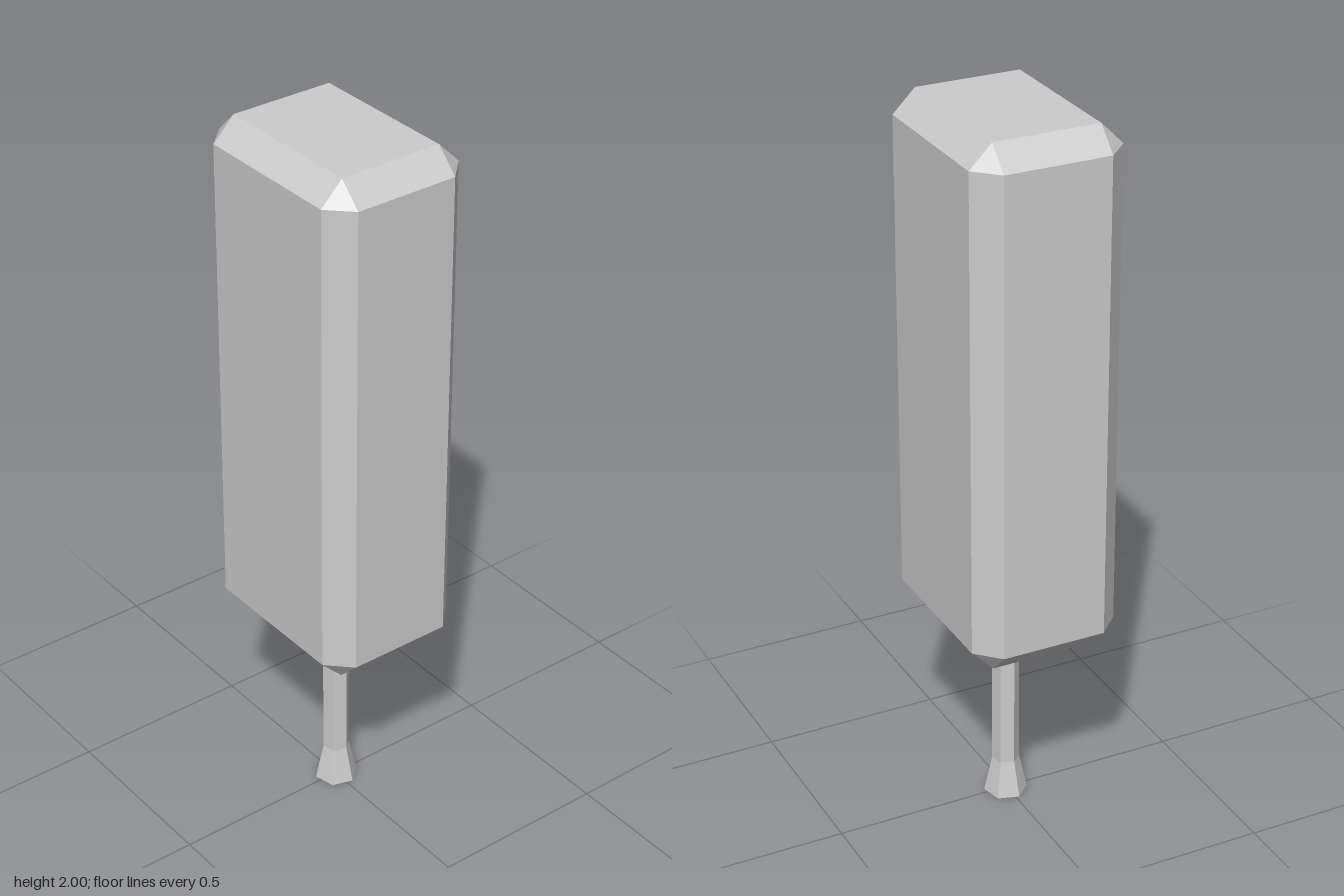
import * as THREE from 'three';
import { ConvexGeometry } from 'three/addons/geometries/ConvexGeometry.js';

const material = new THREE.MeshStandardMaterial({ color: 0xcccccc, flatShading: true });

// Box with every edge cut at 45 degrees and a triangle at each corner
function chamferedBox(width, height, depth, cut) {
  const [x, y, z] = [width / 2, height / 2, depth / 2];
  const points = [];
  for (const sx of [-1, 1]) for (const sy of [-1, 1]) for (const sz of [-1, 1]) {
    points.push(
      new THREE.Vector3(sx * x, sy * (y - cut), sz * (z - cut)),
      new THREE.Vector3(sx * (x - cut), sy * y, sz * (z - cut)),
      new THREE.Vector3(sx * (x - cut), sy * (y - cut), sz * z));
  }
  return new ConvexGeometry(points);
}

// Six-sided section of the stick between two heights
function stickSection(name, bottomY, topY, bottomRadius, topRadius, openEnded) {
  const geometry = new THREE.CylinderGeometry(topRadius, bottomRadius, topY - bottomY,
    6, 1, openEnded, THREE.MathUtils.degToRad(-17));
  const mesh = new THREE.Mesh(geometry, material);
  mesh.name = name;
  mesh.position.y = (bottomY + topY) / 2;
  return mesh;
}

export function createModel() {
  const model = new THREE.Group();
  model.name = 'blockOnStick';

  // Large block
  const block = new THREE.Mesh(chamferedBox(0.555, 1.453, 0.416, 0.062), material);
  block.name = 'block';
  block.position.y = 0.547 + 1.453 / 2;
  model.add(block);

  // Thin stick, flaring to a wider foot
  const stick = new THREE.Group();
  stick.name = 'stick';
  stick.position.set(-0.002, 0, -0.004);
  stick.add(
    stickSection('shaft', 0.105, 0.56, 0.0375, 0.0375, true),
    stickSection('foot', 0, 0.105, 0.06, 0.0375, false));
  model.add(stick);

  return model;
}
